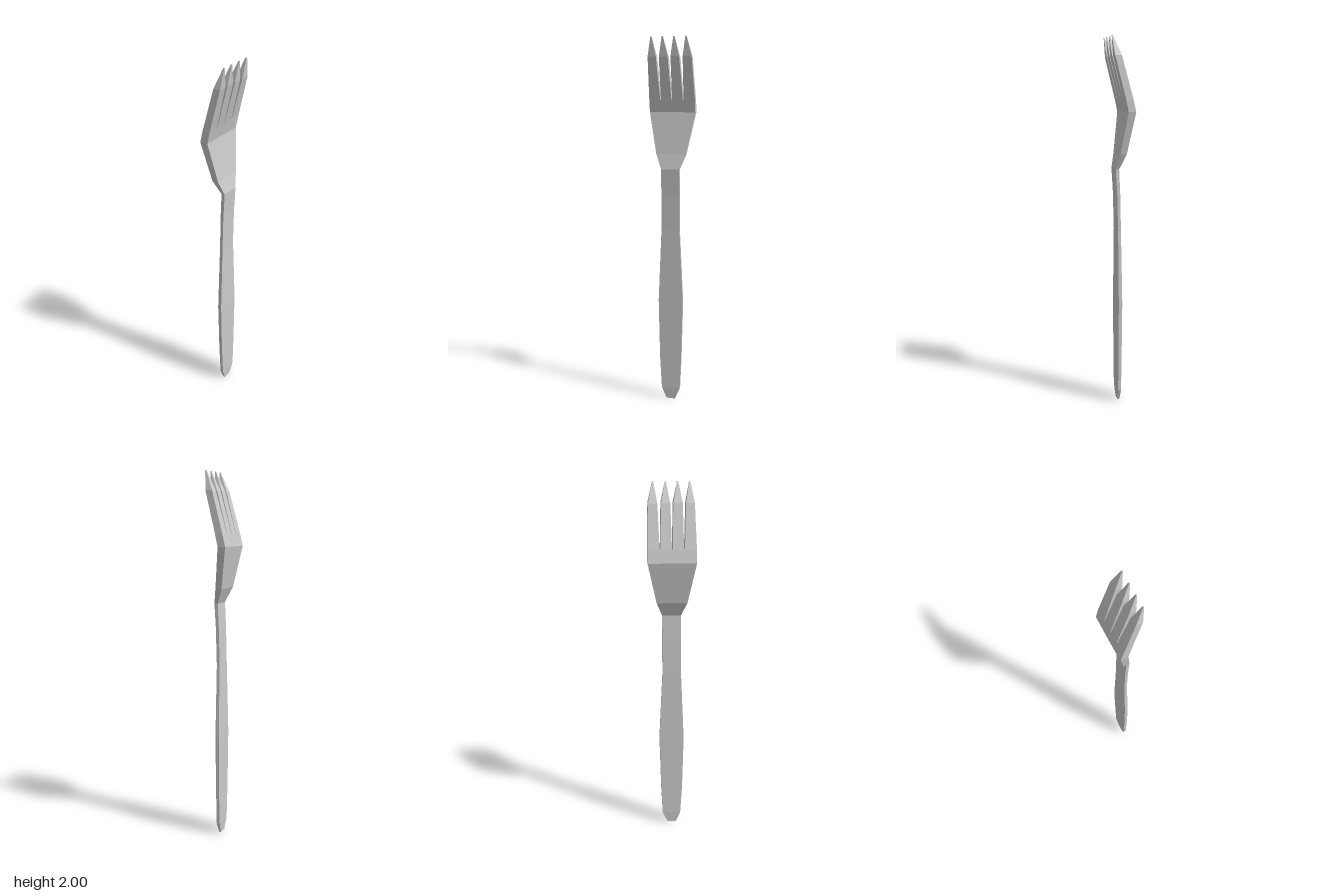
import * as THREE from 'three';

const TWIST = -0.053; // the fork is turned slightly about its long axis

// Lofts four-cornered sections [y, zLow, zHigh, xBack, xFront] from bottom to top.
function loft(name, rows) {
  const pos = [];
  const idx = [];
  for (const [y, lo, hi, back, front] of rows) {
    for (const [x, z] of [[back, hi], [front, hi], [front, lo], [back, lo]]) {
      pos.push(x + TWIST * z, y, z);
    }
  }
  for (let i = 0; i < rows.length - 1; i++) {
    for (let k = 0; k < 4; k++) {
      const a = i * 4 + k;
      const b = i * 4 + (k + 1) % 4;
      idx.push(a, b, b + 4, a, b + 4, a + 4);
    }
  }
  const t = (rows.length - 1) * 4;
  idx.push(0, 2, 1, 0, 3, 2, t, t + 1, t + 2, t, t + 2, t + 3);
  const indexed = new THREE.BufferGeometry();
  indexed.setAttribute('position', new THREE.Float32BufferAttribute(pos, 3));
  indexed.setIndex(idx);
  const geometry = indexed.toNonIndexed();
  geometry.computeVertexNormals();
  const material = new THREE.MeshStandardMaterial({ color: 0xcccccc, flatShading: true });
  const mesh = new THREE.Mesh(geometry, material);
  mesh.name = name;
  return mesh;
}

export function createModel() {
  const fork = new THREE.Group();
  fork.name = 'fork';

  // Handle: rounded-off end, swelling grip, narrow neck
  fork.add(loft('handle', [
    [0, -0.02, 0.03, 0.006, 0.015],
    [0.065, -0.048, 0.056, 0.002, 0.019],
    [0.25, -0.056, 0.066, 0.001, 0.019],
    [0.58, -0.064, 0.073, -0.001, 0.019],
    [0.98, -0.045, 0.056, 0.002, 0.018],
    [1.18, -0.045, 0.055, 0.006, 0.023],
    [1.315, -0.045, 0.055, 0.012, 0.031],
  ]));

  // Head: flares backward to the bend, then turns forward to the tine roots
  fork.add(loft('head', [
    [1.315, -0.045, 0.055, 0.012, 0.031],
    [1.395, -0.076, 0.085, -0.022, 0.012],
    [1.615, -0.122, 0.126, -0.061, -0.02],
    [1.68, -0.122, 0.126, -0.046, -0.006],
  ]));

  // Tines: [root low, root high, shoulder low, shoulder high, tip] along z
  const tines = [
    [0.066, 0.126, 0.077, 0.121, 0.1],
    [0.005, 0.062, 0.014, 0.061, 0.04],
    [-0.057, 0.001, -0.047, -0.001, -0.021],
    [-0.122, -0.061, -0.112, -0.065, -0.084],
  ];
  const group = new THREE.Group();
  group.name = 'tines';
  tines.forEach(([rootLo, rootHi, lo, hi, tip], i) => {
    group.add(loft(`tine${i + 1}`, [
      [1.68, rootLo, rootHi, -0.046, -0.006],
      [1.9, lo, hi, 0.014, 0.05],
      [2, tip - 0.003, tip + 0.003, 0.056, 0.061],
    ]));
  });
  fork.add(group);
  return fork;
}
